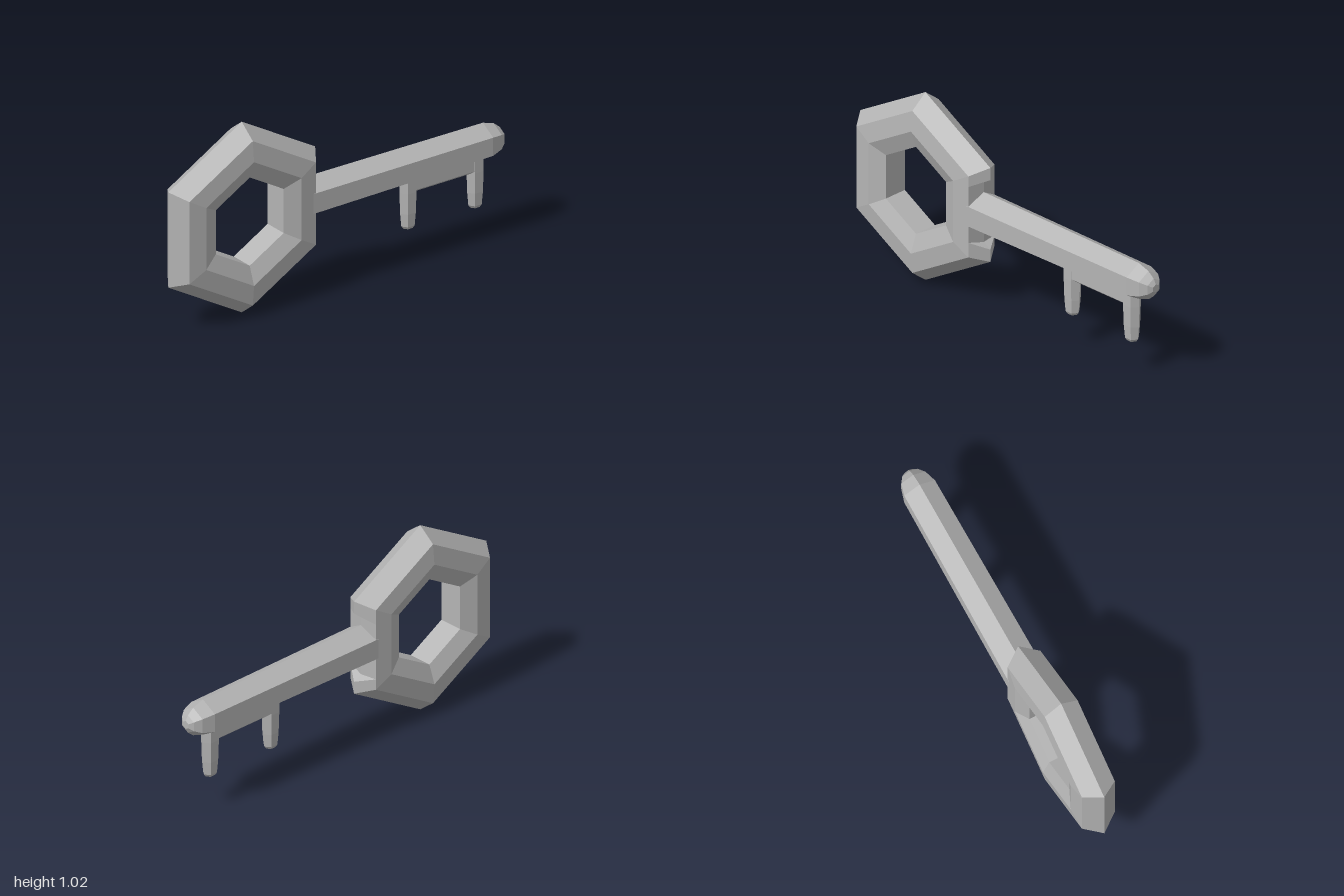
import * as THREE from 'three';

const V = (x, y, z) => new THREE.Vector3(x, y, z);

// Skin a list of cross-sections; each runs counter-clockwise about the sweep direction
function loft(sections, closed = false) {
  const pos = [];
  const tri = (...pts) => pts.forEach((p) => pos.push(p.x, p.y, p.z));
  const n = sections[0].length;
  const spans = closed ? sections.length : sections.length - 1;
  for (let i = 0; i < spans; i++) {
    const s = sections[i], t = sections[(i + 1) % sections.length];
    for (let j = 0; j < n; j++) {
      const k = (j + 1) % n;
      tri(s[j], s[k], t[j]);
      tri(s[k], t[k], t[j]);
    }
  }
  if (!closed) {
    const first = sections[0], last = sections[sections.length - 1];
    for (let j = 1; j < n - 1; j++) {
      tri(first[0], first[j + 1], first[j]);
      tri(last[0], last[j], last[j + 1]);
    }
  }
  const geo = new THREE.BufferGeometry();
  geo.setAttribute('position', new THREE.Float32BufferAttribute(pos, 3));
  geo.computeVertexNormals();
  return geo;
}

const hexagon = (fn) => Array.from({ length: 6 }, (_, i) => fn((i * Math.PI) / 3));

export function createModel() {
  const group = new THREE.Group();
  const metal = new THREE.MeshStandardMaterial({ color: 0xb4b4b4, flatShading: true });
  metal.name = 'grey metal';
  const add = (name, geo) => {
    const mesh = new THREE.Mesh(geo, metal);
    mesh.name = name;
    group.add(mesh);
  };

  // Hexagonal bow: bevelled profile as [x, radius]
  const profile = [[0, 0.508], [-0.09, 0.438], [-0.1, 0.33], [-0.065, 0.235],
    [0.065, 0.235], [0.1, 0.33], [0.09, 0.438]];
  const corners = hexagon((a) => profile.map(([x, r]) =>
    V(x, 0.508 + r * Math.cos(a), 0.56 + r * Math.sin(a))));
  // On the side facing the shaft the outer ridge is cut away in the middle
  const notch = [[0.13, false], [0.18, true], [0.82, true], [0.87, false]].map(([t, cut]) => {
    const s = corners[4].map((p, j) => p.clone().lerp(corners[5][j], t));
    if (cut) s[0].z = 0.165;
    return s;
  });
  add('bow', loft([...corners.slice(0, 5), ...notch, corners[5]], true));

  // Six-sided shaft with a rounded tip: [z, radius]
  const shaft = [[-1, 0.022], [-0.985, 0.048], [-0.95, 0.076], [-0.885, 0.097], [0.2, 0.106]];
  add('shaft', loft(shaft.map(([z, r]) =>
    hexagon((a) => V(-r * Math.sin(a), 0.51 + r * Math.cos(a), z)))));

  // Two teeth hanging from the shaft: [y, scale]
  const tooth = [[0.175, 0.55], [0.19, 0.78], [0.26, 0.92], [0.37, 1], [0.47, 1]];
  [['frontTooth', -0.436], ['backTooth', -0.838]].forEach(([name, z]) => {
    add(name, loft(tooth.map(([y, s]) =>
      hexagon((a) => V(0.041 * s * Math.sin(a), y, z + 0.051 * s * Math.cos(a))))));
  });

  // Rail joining the teeth under the shaft
  const rail = [[-0.018, 0.366], [0.018, 0.366], [0.034, 0.38], [0.034, 0.46], [-0.034, 0.46], [-0.034, 0.38]];
  add('toothRail', loft([-0.84, -0.435].map((z) => rail.map(([x, y]) => V(x, y, z)))));

  return group;
}
